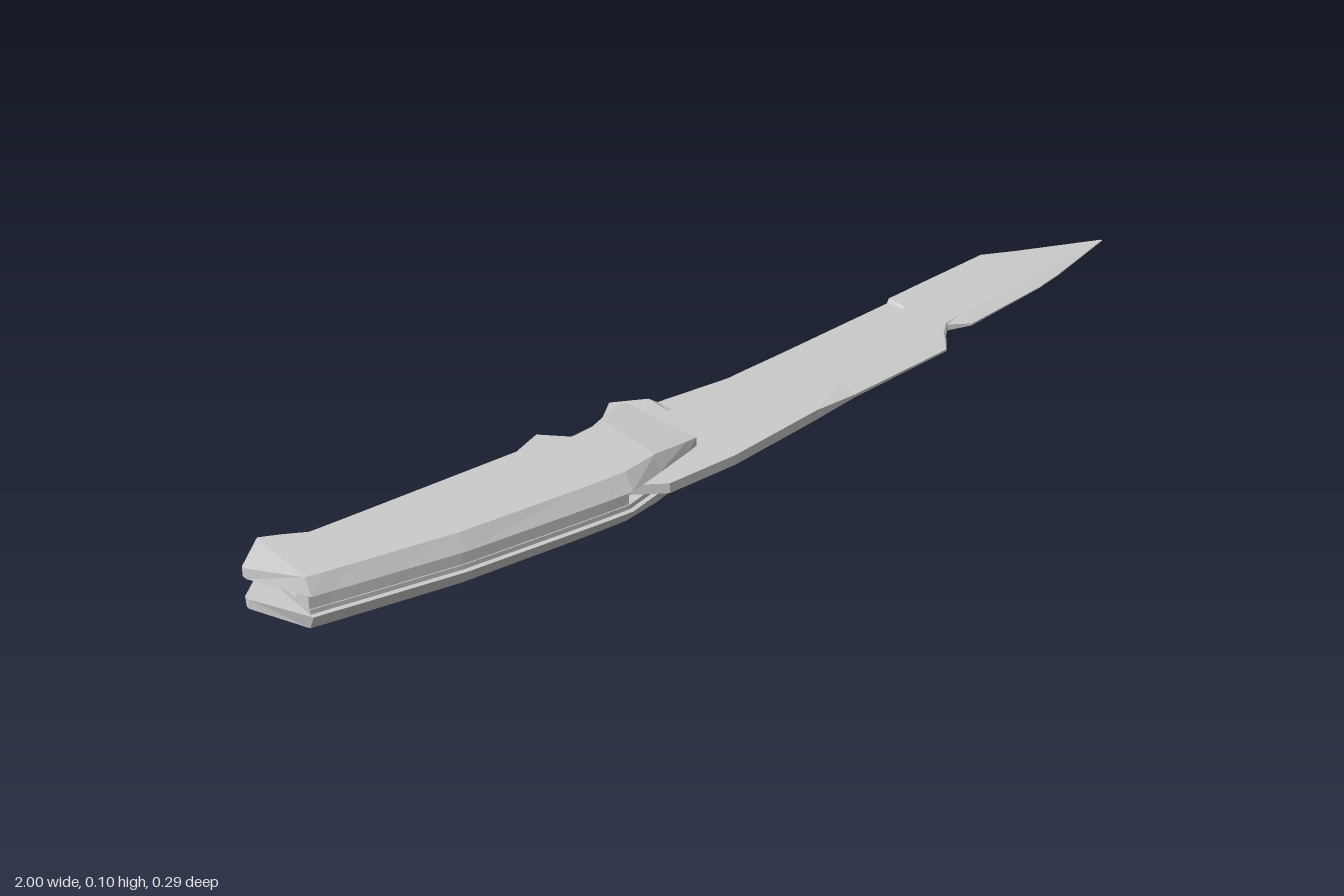
import * as THREE from 'three';

const material = new THREE.MeshStandardMaterial({ color: 0xcccccc, flatShading: true });

// Joins cross-sections along x. Each section is { x, ring: [[z, y], ...] },
// with the ring running anticlockwise as seen from +x.
function loft(name, sections) {
  const n = sections[0].ring.length;
  const positions = [];
  const index = [];
  for (const { x, ring } of sections) for (const [z, y] of ring) positions.push(x, y, z);
  for (let i = 0; i < sections.length - 1; i++) {
    for (let j = 0; j < n; j++) {
      const a = i * n + j, b = i * n + (j + 1) % n;
      index.push(a, b, a + n, b, b + n, a + n);
    }
  }
  // Both ends are closed with strips between the top and bottom halves
  const last = (sections.length - 1) * n;
  for (let j = 0; j < n / 2 - 1; j++) {
    const a = j, b = j + 1, c = n - 2 - j, d = n - 1 - j;
    index.push(a, c, b, a, d, c);
    index.push(last + a, last + b, last + c, last + a, last + c, last + d);
  }
  let geometry = new THREE.BufferGeometry();
  geometry.setAttribute('position', new THREE.Float32BufferAttribute(positions, 3));
  geometry.setIndex(index);
  geometry = geometry.toNonIndexed();
  geometry.computeVertexNormals();
  const mesh = new THREE.Mesh(geometry, material);
  mesh.name = name;
  return mesh;
}

// Handle: x, outer back z, inner back z, inner front z, outer front z, top height
const handle = [
  [-1.0, -0.062, -0.06, -0.052, -0.05, 0.04],
  [-0.945, -0.112, -0.105, 0.046, 0.062, 0.05],
  [-0.91, -0.12, -0.088, 0.053, 0.068, 0.05],
  [-0.87, -0.106, -0.065, 0.06, 0.076, 0.05],
  [-0.81, -0.086, -0.063, 0.071, 0.087, 0.05],
  [-0.68, -0.08, -0.06, 0.094, 0.111, 0.05],
  [-0.46, -0.07, -0.055, 0.112, 0.132, 0.05],
  [-0.40, -0.105, -0.08, 0.116, 0.137, 0.05],
  [-0.355, -0.073, -0.033, 0.118, 0.14, 0.05],
  [-0.28, -0.08, -0.041, 0.105, 0.12, 0.05],
  [-0.20, -0.112, -0.085, 0.093, 0.098, 0.039],
  [-0.175, 0.08, 0.081, 0.089, 0.09, 0.036],
];

// Bevelled outer grip plate
const scale = () => loft('handleScale', handle.map(([x, b, bi, fi, f, h]) => ({
  x, ring: [[b, 0.02], [bi, h], [fi, h], [f, 0.02]],
})));

// Thin plate under each grip, slightly smaller than it
const liner = () => loft('liner', handle.slice(1, -1).map(([x, b, , , f]) => ({
  x, ring: [[b + 0.012, 0.011], [b + 0.012, 0.021], [f - 0.01, 0.021], [f - 0.01, 0.011]],
})));

// Bar along the front edge that closes the blade slot on that side
const spacer = () => loft('spacer', handle.slice(1, 9).map(([x, , , , f]) => ({
  x, ring: [[f - 0.055, -0.012], [f - 0.055, 0.012], [f - 0.012, 0.012], [f - 0.012, -0.012]],
})));

// Blade: x, back z, step z, bevel z, front z, then half thickness at
// back edge, foot of the step, flat and front edge
const T = 0.01;
const bladeStations = [
  [-0.36, -0.02, -0.01, 0.08, 0.09, T, T, T, T],
  [-0.28, -0.07, -0.05, 0.12, 0.146, T, T, T, T],
  [-0.19, -0.148, -0.05, 0.12, 0.146, 0.006, T, T, T],
  [-0.13, -0.108, -0.05, 0.12, 0.146, T, T, T, T],
  [-0.115, -0.1, -0.05, 0.12, 0.144, 0.001, 0.005, T, T],
  [0.04, -0.086, -0.053, 0.118, 0.125, 0.001, 0.005, T, T],
  [0.08, -0.089, -0.054, 0.117, 0.12, 0.001, 0.005, T, T],
  [0.18, -0.095, -0.058, 0.07, 0.113, 0.001, 0.005, T, 0.003],
  [0.43, -0.113, -0.069, 0.05, 0.095, 0.001, 0.005, T, 0.002],
  [0.47, -0.116, -0.07, 0.044, 0.052, 0.001, 0.005, T, 0.004],
  [0.475, -0.117, -0.07, 0.043, 0.047, T, T, T, 0.005],
  [0.495, -0.118, -0.07, 0.026, 0.03, T, T, T, 0.006],
  [0.54, -0.122, -0.07, 0.02, 0.052, T, T, T, 0.002],
  [0.75, -0.14, -0.08, -0.006, 0.027, 0.008, 0.008, 0.008, 0.001],
  [0.82, -0.11, -0.07, -0.013, 0.012, 0.006, 0.006, 0.006, 0.001],
  [1.0, -0.042, -0.041, -0.039, -0.038, 0.0005, 0.0005, 0.0005, 0.0005],
];

const blade = () => loft('blade', bladeStations.map(([x, b, s, v, f, tb, ts, t, tf]) => {
  const top = [[b, tb], [s - 0.001, ts], [s, t], [v, t], [f, tf]];
  const bottom = top.map(([z, y]) => [z, -y]).reverse();
  return { x, ring: [...top, ...bottom] };
}));

export function createModel() {
  const knife = new THREE.Group();
  knife.name = 'foldingKnife';

  // Mirrored handle halves
  for (const side of [1, -1]) {
    const half = new THREE.Group();
    half.name = side > 0 ? 'upperHandle' : 'lowerHandle';
    half.add(scale(), liner());
    half.scale.y = side;
    knife.add(half);
  }
  knife.add(spacer(), blade());
  for (const part of knife.children) part.position.y = 0.05;
  return knife;
}
